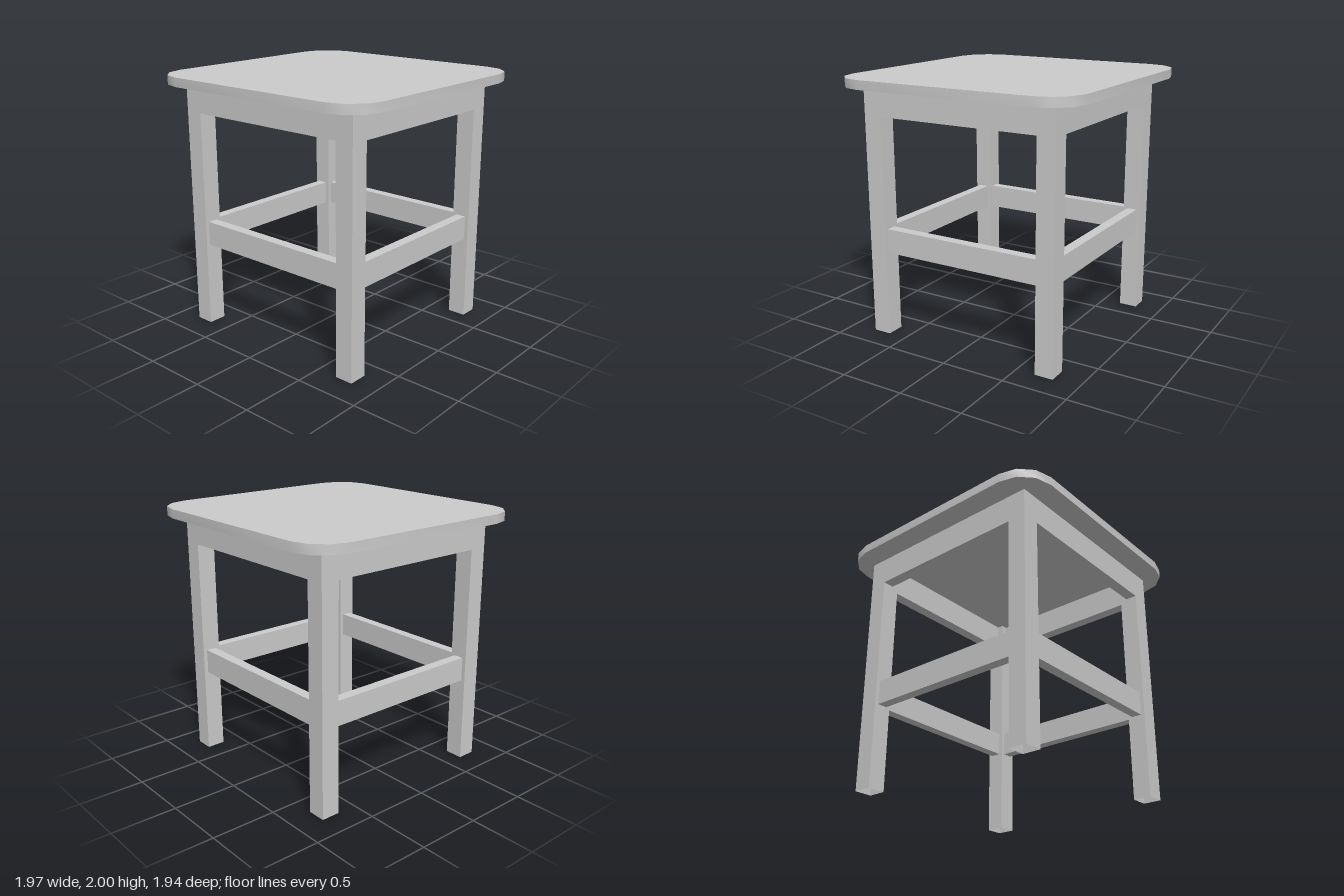
import * as THREE from 'three';
import { toCreasedNormals } from 'three/addons/utils/BufferGeometryUtils.js';

const SEAT_Y = 1.93, SEAT_X = 0.985, SEAT_Z = 0.97, CORNER = 0.265;
const LEG_X = 0.81, LEG_Z = 0.795, LEG = 0.143; // outer faces and thickness of the legs

export function createModel() {
  const model = new THREE.Group();
  model.name = 'stool';
  const grey = new THREE.MeshStandardMaterial({ color: 0xcccccc });
  const openGrey = new THREE.MeshStandardMaterial({ color: 0xcccccc, side: THREE.DoubleSide });

  const add = (name, geometry, material = grey) => {
    const mesh = new THREE.Mesh(geometry, material);
    mesh.name = name;
    model.add(mesh);
    return mesh;
  };
  const box = (name, w, h, d, x, y, z) =>
    add(name, new THREE.BoxGeometry(w, h, d)).position.set(x, y, z);

  // Seat: flat slab whose corners are three-step arcs with smoothed rims
  const outline = new THREE.Shape();
  const x = SEAT_X - CORNER, z = SEAT_Z - CORNER;
  [[x, z], [-x, z], [-x, -z], [x, -z]].forEach(([cx, cz], i) => {
    for (let k = 0; k <= 3; k++) {
      const a = (i + k / 3) * Math.PI / 2;
      const p = [cx + CORNER * Math.cos(a), cz + CORNER * Math.sin(a)];
      if (i + k === 0) outline.moveTo(...p);
      else outline.lineTo(...p);
    }
  });
  const slab = new THREE.ExtrudeGeometry(outline, { depth: 2 - SEAT_Y, bevelEnabled: false });
  slab.rotateX(-Math.PI / 2).translate(0, SEAT_Y, 0);
  add('seat', toCreasedNormals(slab, 0.6));

  // Legs: square hollow posts, open at the foot
  const post = new THREE.CylinderGeometry(LEG * Math.SQRT1_2, LEG * Math.SQRT1_2, SEAT_Y, 4, 1, true)
    .rotateY(Math.PI / 4).toNonIndexed();
  post.computeVertexNormals();
  const legX = LEG_X - LEG / 2, legZ = LEG_Z - LEG / 2;
  for (const [front, sz] of [['front', 1], ['back', -1]])
    for (const [side, sx] of [['Left', 1], ['Right', -1]])
      add(front + side + 'Leg', post, openGrey).position.set(sx * legX, SEAT_Y / 2, sz * legZ);

  // Rails between the legs: aprons flush with the outer faces, stretchers centred on the legs
  const apron = { h: 0.215, t: 0.09, y: 1.8225 };
  const stretcher = { h: 0.19, t: 0.08, y: 0.755 };
  const spanX = 2 * (LEG_X - LEG), spanZ = 2 * (LEG_Z - LEG);
  for (const [front, side, s] of [['front', 'left', 1], ['back', 'right', -1]]) {
    box(front + 'Apron', spanX, apron.h, apron.t, 0, apron.y, s * (LEG_Z - apron.t / 2));
    box(side + 'Apron', apron.t, apron.h, spanZ, s * (LEG_X - apron.t / 2), apron.y, 0);
    box(front + 'Stretcher', spanX, stretcher.h, stretcher.t, 0, stretcher.y, s * legZ);
    box(side + 'Stretcher', stretcher.t, stretcher.h, spanZ, s * legX, stretcher.y, 0);
  }
  return model;
}
